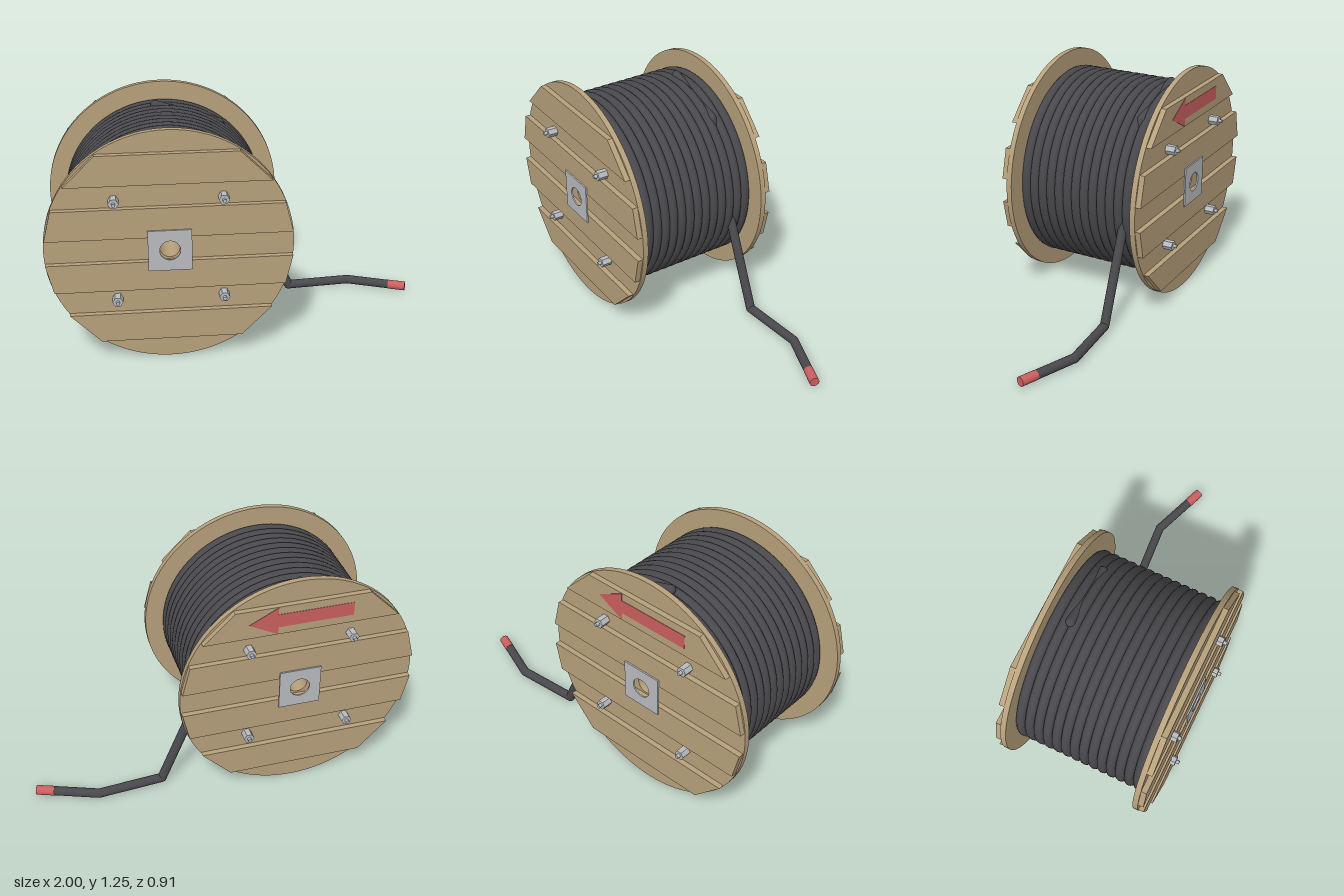
import * as THREE from 'three';

const CX = -0.375, CY = 0.627, R = 0.625;

const mat = (name, color) => {
  const m = new THREE.MeshStandardMaterial({ color });
  m.name = name;
  return m;
};

export function createModel() {
  const wood = mat('wood', 0xb8a17c);
  const steel = mat('steel', 0xb9bcc0);
  const rubber = mat('cableRubber', 0x49494d);
  const red = mat('red', 0xcc5f5f);

  const model = new THREE.Group();
  model.name = 'cableDrum';
  const reel = new THREE.Group();
  reel.name = 'reel';
  reel.position.set(CX, CY, 0);
  model.add(reel);

  const add = (parent, name, geo, material, x = 0, y = 0, z = 0) => {
    const m = new THREE.Mesh(geo, material);
    m.name = name;
    m.position.set(x, y, z);
    parent.add(m);
    return m;
  };
  const extrude = (shape, depth, curveSegments = 24) =>
    new THREE.ExtrudeGeometry(shape, { depth, bevelEnabled: false, curveSegments });
  const poly = pts => new THREE.Shape(pts.map(p => new THREE.Vector2(p[0], p[1])));
  const withHole = (shape, r) => {
    shape.holes.push(new THREE.Path().absarc(0, 0, r, 0, Math.PI * 2, true));
    return shape;
  };

  // One end of the reel, built facing +z
  function makeFlange(name) {
    const g = new THREE.Group();
    g.name = name;
    const disc = withHole(new THREE.Shape().absarc(0, 0, R, 0, Math.PI * 2, false), 0.052);
    add(g, 'flangeDisc', extrude(disc, 0.029, 48), wood, 0, 0, 0.353);

    // raised boards with straight-cut ends
    for (const [lo, hi] of [[-0.507, -0.35], [-0.218, -0.062], [0.07, 0.23], [0.353, 0.513]]) {
      const a = Math.sqrt(0.622 ** 2 - lo * lo), b = Math.sqrt(0.622 ** 2 - hi * hi);
      add(g, 'board', extrude(poly([[-a, lo], [a, lo], [b, hi], [-b, hi]]), 0.03), wood, 0, 0, 0.381);
    }

    // square hub plate
    const s = 0.11;
    const plate = withHole(poly([[-s, -s], [s, -s], [s, s], [-s, s]]), 0.052);
    add(g, 'hubPlate', extrude(plate, 0.008), steel, 0, 0, 0.411);

    // hex nuts on threaded studs
    for (const x of [-0.27, 0.27]) for (const y of [-0.27, 0.27]) {
      const nut = add(g, 'nut', new THREE.CylinderGeometry(0.027, 0.027, 0.054, 6).toNonIndexed(), steel, x, y, 0.408);
      nut.geometry.computeVertexNormals();
      nut.rotation.set(Math.PI / 2, Math.PI / 6, 0);
      const stud = add(g, 'stud', new THREE.CylinderGeometry(0.01, 0.01, 0.07, 12), steel, x, y, 0.418);
      stud.rotation.x = Math.PI / 2;
    }
    reel.add(g);
    return g;
  }
  makeFlange('frontFlange');
  const back = makeFlange('backFlange');
  back.rotation.y = Math.PI;

  // Painted arrow on the top board of the back flange
  const arrow = poly([[-0.28, 0], [-0.13, -0.078], [-0.13, -0.037], [0.265, -0.037],
    [0.265, 0.037], [-0.13, 0.037], [-0.13, 0.078]]);
  add(back, 'directionArrow', extrude(arrow, 0.002), red, 0, 0.433, 0.411);

  // Axle bore through the middle
  const boreMat = wood.clone();
  boreMat.side = THREE.DoubleSide;
  const bore = add(reel, 'axleBore', new THREE.CylinderGeometry(0.053, 0.053, 0.71, 32, 1, true), boreMat);
  bore.rotation.x = Math.PI / 2;

  // Wound cable
  const turns = 14, pitch = 0.0505;
  const ring = new THREE.TorusGeometry(0.506, 0.0265, 14, 80);
  for (let i = 0; i < turns; i++) add(reel, 'cableTurn', ring, rubber, 0, 0, (i - (turns - 1) / 2) * pitch);

  // Loose cable: rounded joints between straight lengths
  const r = 0.0245;
  const length = (name, a, b, material, radius = r) => {
    const d = b.clone().sub(a);
    const m = add(model, name, new THREE.CylinderGeometry(radius, radius, d.length(), 20), material);
    m.position.copy(a).addScaledVector(d, 0.5);
    m.quaternion.setFromUnitVectors(new THREE.Vector3(0, 1, 0), d.normalize());
  };
  const path = [[-0.41, 1.157, -0.25], [-0.07, 1.045, -0.25], [0.12, 0.52, -0.25], [0.325, 0.033, -0.255],
    [0.675, 0.033, -0.282], [0.9, 0.033, -0.198], [0.99, 0.033, -0.165]].map(p => new THREE.Vector3(...p));
  for (let i = 0; i < 5; i++) {
    length('looseCable', path[i], path[i + 1], rubber);
    add(model, 'cableBend', new THREE.SphereGeometry(r, 20, 14), rubber, ...path[i].toArray());
  }
  length('cableEndCap', path[5], path[6], red, r + 0.001);

  return model;
}
